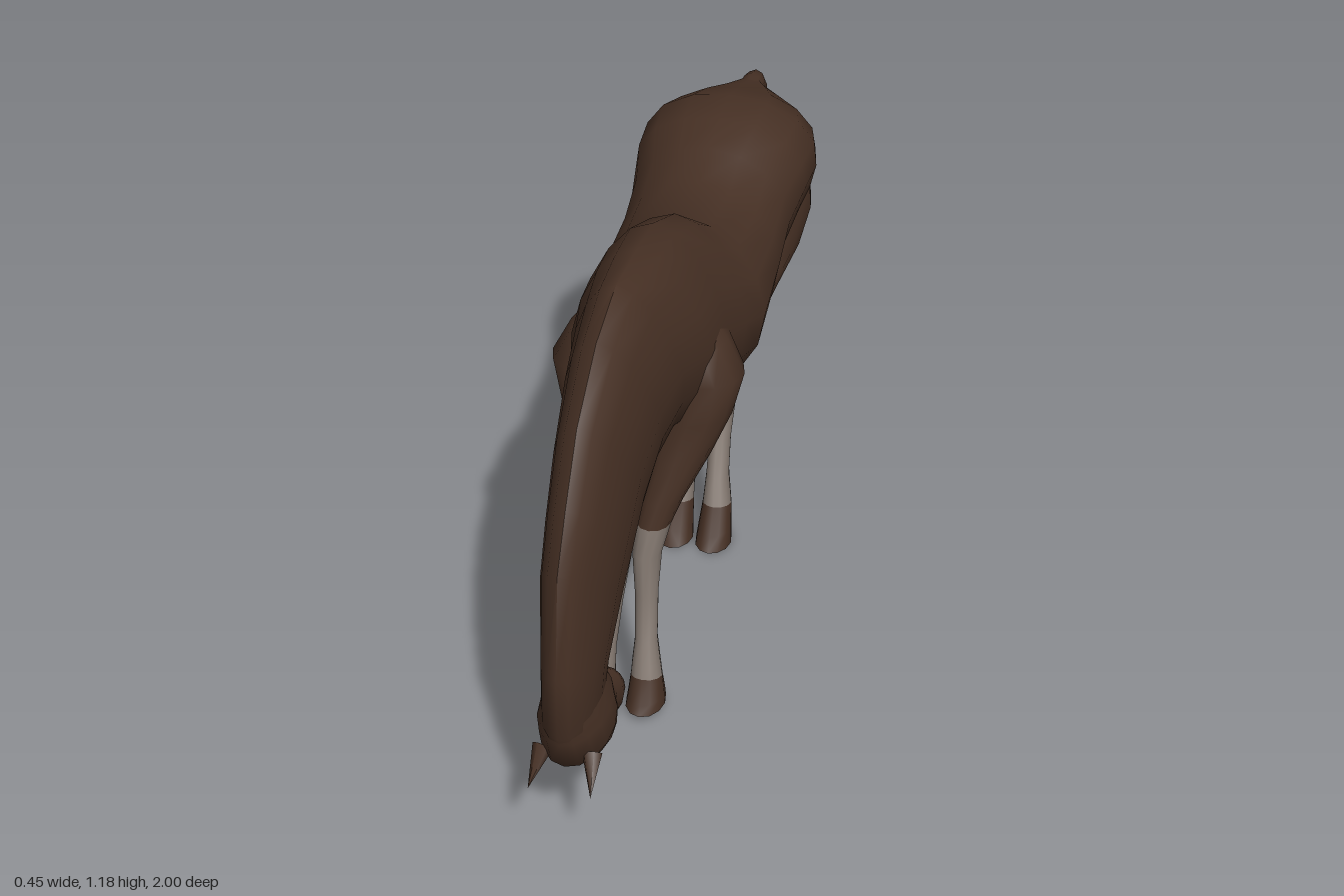
import * as THREE from 'three';
import { toCreasedNormals } from 'three/addons/utils/BufferGeometryUtils.js';

const coat = new THREE.MeshStandardMaterial({ color: 0x463024 });
coat.name = 'brown coat';
const sock = new THREE.MeshStandardMaterial({ color: 0x82776f });
sock.name = 'grey sock';

// Skins a row of oval cross-sections, each [topZ, topY, bottomZ, bottomY, halfWidth, centreX, peak].
// peak narrows the upper half (negative widens it); colours[i] is the material index of the strip
// after section i; side -1 mirrors in x.
function loft(name, sections, { side = 1, colours = [0], dz = () => 0, sides = 16 } = {}) {
  const closed = ([tz, ty, bz, by, , x = 0]) => [(tz + bz) / 2, (ty + by) / 2, (tz + bz) / 2, (ty + by) / 2, 0, x];
  const rows = [closed(sections[0]), ...sections, closed(sections[sections.length - 1])];
  const pos = [], index = [], geo = new THREE.BufferGeometry();
  rows.forEach(([tz, ty, bz, by, w, x = 0, peak = 0], i) => {
    for (let j = 0; j < sides; j++) {
      const a = (j / sides) * Math.PI * 2, c = Math.cos(a);
      const y = (ty + by) / 2 + ((ty - by) / 2) * c;
      const z = (tz + bz) / 2 + ((tz - bz) / 2) * c + dz(y);
      pos.push(side * (x + w * Math.sin(a) * (1 - peak * Math.max(0, c))), y, z);
    }
    if (i === 0) return;
    geo.addGroup(index.length, sides * 6, colours[Math.max(0, Math.min(i - 2, colours.length - 1))]);
    for (let j = 0; j < sides; j++) {
      const k = (j + 1) % sides, p = (i - 1) * sides, q = i * sides;
      const quad = [p + j, q + j, p + k, p + k, q + j, q + k];
      index.push(...(side > 0 ? quad : quad.reverse()));
    }
  });
  geo.setAttribute('position', new THREE.Float32BufferAttribute(pos, 3));
  geo.setIndex(index);
  const mesh = new THREE.Mesh(toCreasedNormals(geo, 1), [coat, sock]);
  mesh.name = name;
  return mesh;
}

// Leg section: height, centre z, half depth, centre x, half width, rise of the front edge
const ring = ([y, z, d, x, w, lift = 0]) => [z + d, y + lift, z - d, y, w, x];

export function createModel() {
  const horse = new THREE.Group();
  horse.name = 'grazing horse';

  // Trunk from rump to shoulder, then the arched neck
  horse.add(loft('bodyAndNeck', [
    [-0.85, 1.03, -0.83, 0.90, 0.05],
    [-0.80, 1.04, -0.80, 0.82, 0.125],
    [-0.71, 1.07, -0.75, 0.76, 0.195, 0, -0.1],
    [-0.61, 1.10, -0.65, 0.74, 0.218, 0, -0.15],
    [-0.50, 1.09, -0.54, 0.745, 0.215, 0, -0.1],
    [-0.40, 1.06, -0.41, 0.70, 0.20],
    [-0.29, 1.025, -0.29, 0.62, 0.20],
    [-0.12, 1.025, -0.09, 0.57, 0.208, 0, 0.1],
    [-0.05, 1.07, 0.03, 0.58, 0.185, 0, 0.2],
    [0.15, 1.155, 0.14, 0.61, 0.18, 0, 0.25],
    [0.30, 1.17, 0.22, 0.64, 0.165, 0, 0.25],
    [0.475, 1.18, 0.30, 0.66, 0.13, 0, 0.25],
    [0.64, 1.13, 0.38, 0.64, 0.11, 0, 0.2],
    [0.80, 1.015, 0.48, 0.575, 0.096, 0, 0.2],
    [0.90, 0.87, 0.55, 0.52, 0.09, 0, 0.2],
    [0.97, 0.75, 0.62, 0.46, 0.083, 0, 0.2],
    [1.0, 0.495, 0.71, 0.38, 0.068, 0, 0.1],
    [1.0, 0.335, 0.74, 0.34, 0.064],
    [0.95, 0.24, 0.76, 0.32, 0.05],
  ]));

  // Head folded back under the neck, ending in a blunt muzzle
  horse.add(loft('head', [
    [0.995, 0.38, 0.75, 0.40, 0.058],
    [0.99, 0.31, 0.715, 0.335, 0.08],
    [0.95, 0.22, 0.715, 0.305, 0.085],
    [0.84, 0.155, 0.70, 0.285, 0.072],
    [0.76, 0.145, 0.67, 0.265, 0.055],
    [0.69, 0.138, 0.645, 0.25, 0.046],
    [0.635, 0.12, 0.62, 0.25, 0.05],
    [0.60, 0.13, 0.592, 0.23, 0.045],
    [0.587, 0.15, 0.585, 0.21, 0.03],
  ]));

  // Tail arching out of the rump and hanging down
  horse.add(loft('tail', [
    [-0.78, 0.97, -0.78, 1.035, 0.035],
    [-0.83, 0.955, -0.865, 1.035, 0.032],
    [-0.865, 0.96, -0.91, 1.022, 0.029],
    [-0.90, 0.95, -0.945, 0.985, 0.026],
    [-0.93, 0.90, -0.967, 0.91, 0.022],
    [-0.945, 0.80, -0.977, 0.80, 0.022],
    [-0.963, 0.65, -0.992, 0.65, 0.015],
    [-0.997, 0.565, -1.0, 0.565, 0.003],
  ], { sides: 10 }));

  // Leg sections from the top of the limb down to the sole; the knees nearly touch
  const front = [
    [0.98, 0.18, 0.07, 0.07, 0.05], [0.90, 0.19, 0.095, 0.105, 0.08],
    [0.82, 0.20, 0.095, 0.125, 0.102], [0.72, 0.215, 0.087, 0.115, 0.088],
    [0.62, 0.245, 0.077, 0.09, 0.07], [0.52, 0.295, 0.055, 0.058, 0.05],
    [0.46, 0.315, 0.05, 0.042, 0.042], [0.39, 0.338, 0.047, 0.032, 0.035],
    [0.29, 0.362, 0.034, 0.036, 0.028], [0.18, 0.395, 0.032, 0.043, 0.027],
    [0.125, 0.415, 0.04, 0.048, 0.034], [0.08, 0.42, 0.043, 0.05, 0.038, 0.02],
    [0.045, 0.432, 0.06, 0.052, 0.044], [0.022, 0.437, 0.068, 0.052, 0.047],
  ].map(ring);
  const hind = [
    [0.97, -0.66, 0.08, 0.08, 0.06], [0.88, -0.66, 0.125, 0.105, 0.09],
    [0.78, -0.665, 0.12, 0.11, 0.09], [0.68, -0.645, 0.115, 0.096, 0.08],
    [0.60, -0.585, 0.08, 0.078, 0.062], [0.51, -0.51, 0.056, 0.054, 0.047],
    [0.43, -0.465, 0.056, 0.036, 0.038], [0.35, -0.435, 0.058, 0.034, 0.033],
    [0.25, -0.378, 0.04, 0.038, 0.028], [0.17, -0.33, 0.04, 0.044, 0.029],
    [0.09, -0.305, 0.045, 0.049, 0.037, 0.015], [0.04, -0.277, 0.055, 0.05, 0.043],
    [0.003, -0.263, 0.063, 0.05, 0.046],
  ].map(ring);
  const frontColours = [0, 0, 0, 0, 0, 0, 1, 1, 1, 1, 1, 0];
  const hindColours = [0, 0, 0, 0, 0, 0, 1, 1, 1, 1, 0];

  for (const side of [1, -1]) {
    const label = side > 0 ? 'left' : 'right';
    // The right foreleg steps slightly further forward
    const step = (y) => (side < 0 ? 0.05 * Math.min(1, Math.max(0, (0.7 - y) / 0.4)) : 0);
    horse.add(loft(label + 'FrontLeg', front, { side, colours: frontColours, dz: step, sides: 12 }));
    horse.add(loft(label + 'HindLeg', hind, { side, colours: hindColours, sides: 12 }));

    // Small pointed ear
    const ear = new THREE.Mesh(new THREE.ConeGeometry(0.024, 0.10, 6), coat);
    ear.name = label + 'Ear';
    ear.position.set(side * 0.064, 0.215, 0.96);
    ear.quaternion.setFromUnitVectors(new THREE.Vector3(0, 1, 0), new THREE.Vector3(side * 0.15, -0.66, 0.75).normalize());
    horse.add(ear);
  }
  return horse;
}
